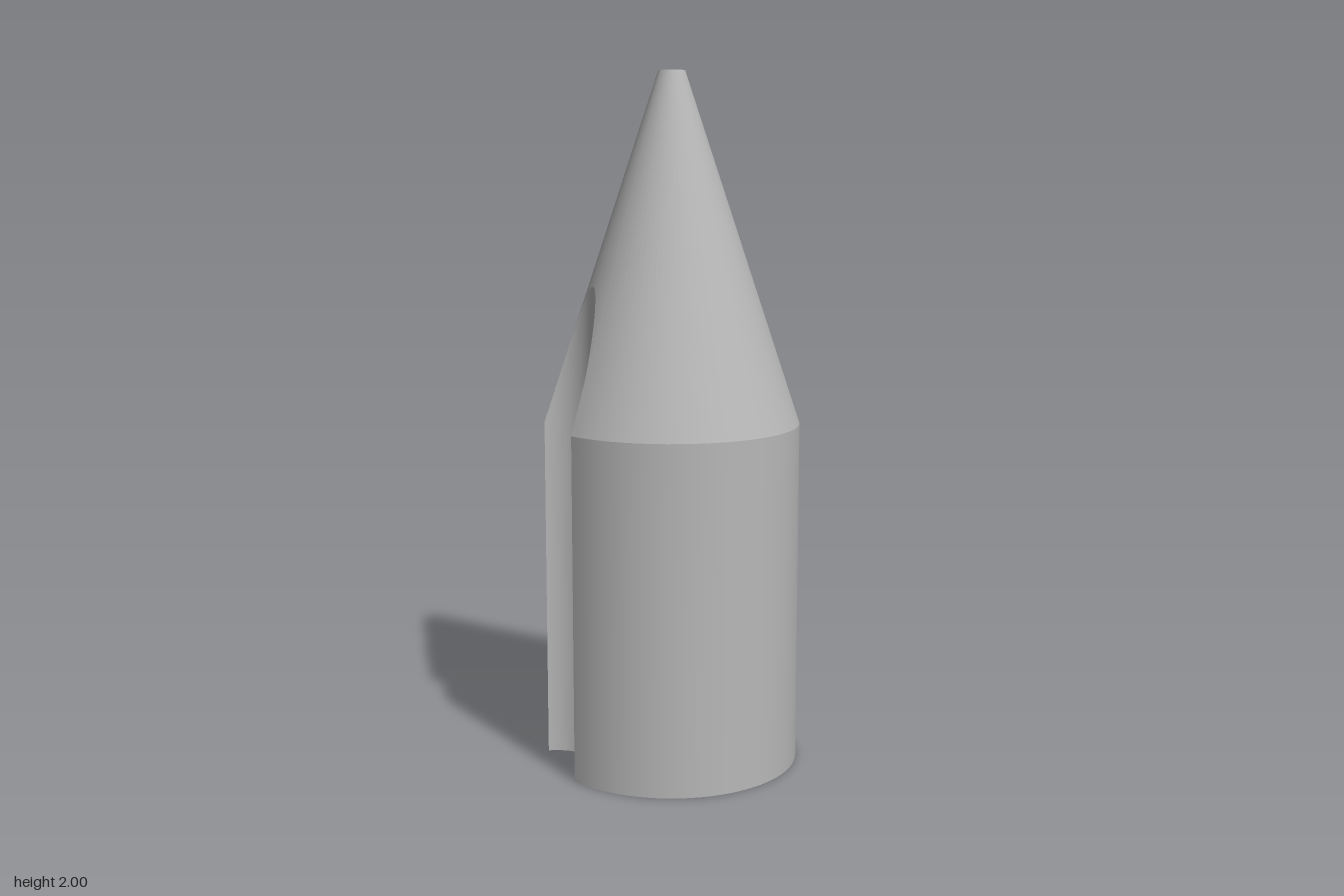
import * as THREE from 'three';

const R = 0.37, TIP = 0.038, SHOULDER = 1, HEIGHT = 2;
const LEFT_GROOVE = 0.072, RIGHT_GROOVE = 0.133; // groove radii, centred on the rim

// Arc of [x, z] points, running counterclockwise as seen from above
function arc(cx, radius, from, to, segments) {
  return Array.from({ length: segments + 1 }, (_, i) => {
    const a = from + (to - from) * i / segments;
    return [cx + radius * Math.cos(a), -radius * Math.sin(a)];
  });
}

// Concave groove arc biting into the rim at the given side (0 or PI)
function grooveArc(side, radius) {
  const half = Math.acos(radius / (2 * R));
  return arc(R * Math.cos(side), radius, side + Math.PI + half, side + Math.PI - half, 24);
}

// Height at which an outline point meets the cone
function coneHeight([x, z]) {
  return SHOULDER + (HEIGHT - SHOULDER) * (R - Math.hypot(x, z)) / (R - TIP);
}

// Smooth strip of quads between a lower and an upper row of points
function strip(lower, upper, closed) {
  const n = lower.length, index = [];
  for (let i = 0; i < (closed ? n : n - 1); i++) {
    const j = (i + 1) % n;
    index.push(i, j, n + j, i, n + j, n + i);
  }
  const g = new THREE.BufferGeometry();
  g.setAttribute('position', new THREE.Float32BufferAttribute([...lower, ...upper].flat(), 3));
  g.setIndex(index);
  g.computeVertexNormals();
  return g;
}

export function createModel() {
  const model = new THREE.Group();
  model.name = 'groovedPointedRod';
  const grey = new THREE.MeshStandardMaterial({ color: 0xb8b8b8 });
  grey.name = 'plain grey';

  const add = (name, geometry) => {
    const mesh = new THREE.Mesh(geometry, grey);
    mesh.name = name;
    model.add(mesh);
    return mesh;
  };

  // Outline: two rim arcs separated by the two grooves
  const aLeft = 2 * Math.asin(LEFT_GROOVE / (2 * R));
  const aRight = 2 * Math.asin(RIGHT_GROOVE / (2 * R));
  const sections = {
    backWall: arc(0, R, aLeft, Math.PI - aRight, 32),
    rightGroove: grooveArc(Math.PI, RIGHT_GROOVE),
    frontWall: arc(0, R, Math.PI + aRight, 2 * Math.PI - aLeft, 32),
    leftGroove: grooveArc(0, LEFT_GROOVE),
  };

  // Upright walls, each ending where it meets the cone
  for (const [name, points] of Object.entries(sections)) {
    add(name, strip(
      points.map(([x, z]) => [x, 0, z]),
      points.map((p) => [p[0], coneHeight(p), p[1]]),
      false));
  }

  // Cone, running from the outline up to the blunt tip
  const outline = Object.values(sections).flatMap((points) => points.slice(0, -1));
  add('cone', strip(
    outline.map((p) => [p[0], coneHeight(p), p[1]]),
    outline.map(([x, z]) => {
      const k = TIP / Math.hypot(x, z);
      return [x * k, HEIGHT, z * k];
    }),
    true));

  // Flat tip and notched base
  add('tip', new THREE.CircleGeometry(TIP, 48).rotateX(-Math.PI / 2)).position.y = HEIGHT;
  const base = new THREE.Shape(outline.map(([x, z]) => new THREE.Vector2(x, z)));
  add('base', new THREE.ShapeGeometry(base).rotateX(Math.PI / 2));

  // The unequal grooves shift the axis slightly off centre
  for (const part of model.children) part.position.x = -0.0085;
  return model;
}
